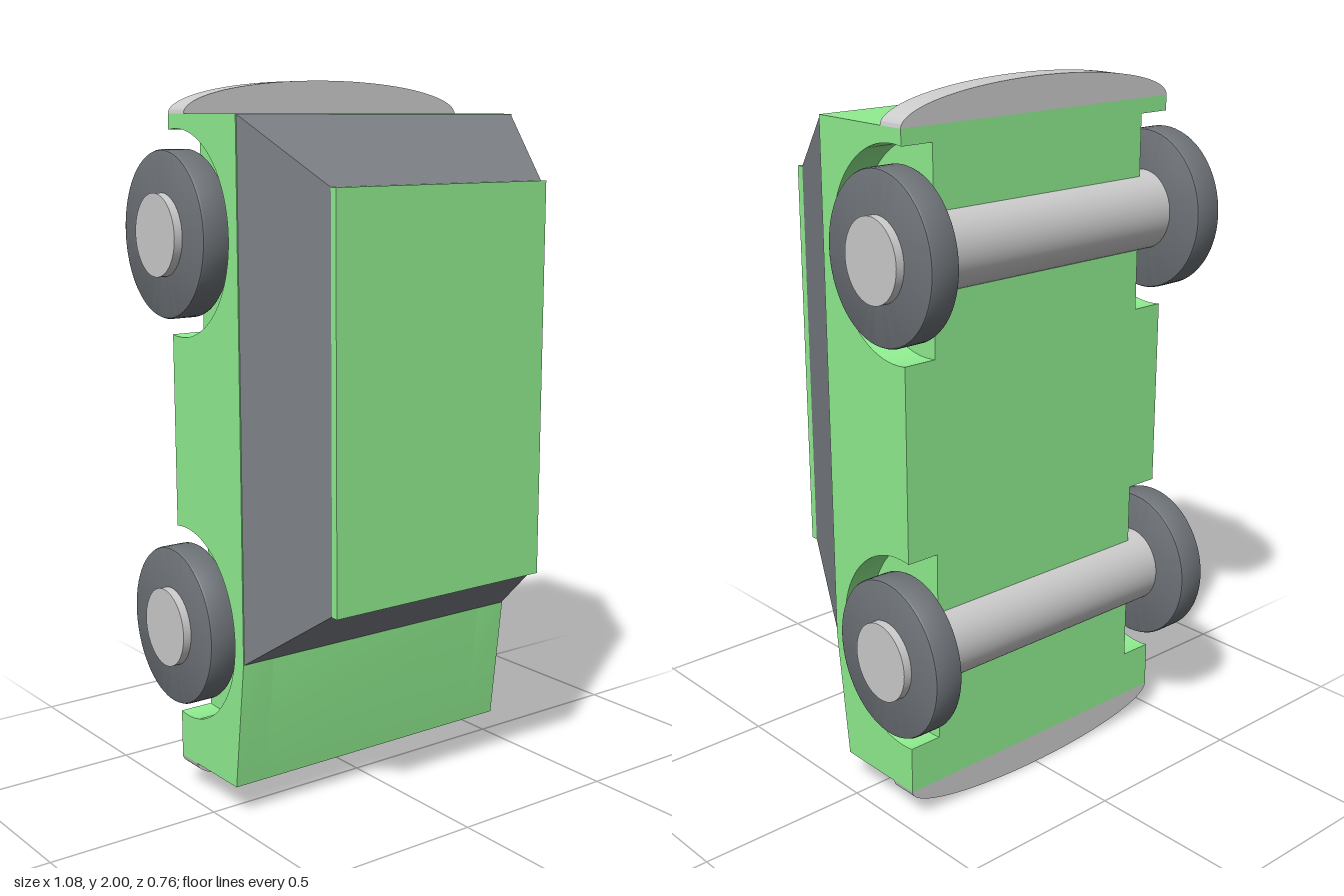
import * as THREE from 'three';
import { toCreasedNormals } from 'three/addons/utils/BufferGeometryUtils.js';

const paint = new THREE.MeshStandardMaterial({ color: 0x90ee90 });
const glass = new THREE.MeshStandardMaterial({ color: 0x7c8085 });
const rubber = new THREE.MeshStandardMaterial({ color: 0x6e7378 });
const grey = new THREE.MeshStandardMaterial({ color: 0xcccccc });

const HALF_WIDTH = 0.468, ARCH_INNER = 0.37, UNDERSIDE = -0.215;
const AXLE_Z = -0.177, AXLE_HEIGHTS = [0.505, 1.595];

function add(parent, name, geometry, material) {
  const mesh = new THREE.Mesh(geometry, material);
  mesh.name = name;
  parent.add(mesh);
  return mesh;
}

// Side outline of the body (shape x is -z), with or without wheel arches
function bodyOutline(withArches) {
  const s = new THREE.Shape();
  s.moveTo(-0.07, 0.095);
  s.lineTo(-UNDERSIDE, 0.095);
  if (withArches) {
    const rz = 0.25, ry = 0.278;
    const a = Math.acos((-UNDERSIDE + AXLE_Z) / rz);
    for (const y of AXLE_HEIGHTS) {
      s.lineTo(-UNDERSIDE, y - ry * Math.sin(a));
      s.absellipse(-AXLE_Z, y, rz, ry, -a, a, true);
    }
  }
  s.lineTo(-UNDERSIDE, 1.912);
  s.lineTo(-0.114, 1.912);
  s.lineTo(-0.114, 0.46);
  s.closePath();
  return s;
}

// Extrudes a side outline across x from x0 to x1
function slab(shape, x0, x1) {
  const g = new THREE.ExtrudeGeometry(shape, { depth: x1 - x0, bevelEnabled: false, curveSegments: 48 });
  g.rotateY(Math.PI / 2).translate(x0, 0, 0);
  return toCreasedNormals(g, 0.4);
}

// Box whose front face (+z) is smaller than its back face
function cabinGeometry() {
  const g = new THREE.BoxGeometry(2, 2, 2);
  const p = g.attributes.position;
  for (let i = 0; i < p.count; i++) {
    const front = p.getZ(i) > 0;
    const [halfW, low, high, z] = front ? [0.353, 0.638, 1.735, 0.36] : [0.465, 0.46, 1.91, 0.114];
    p.setXYZ(i, p.getX(i) * halfW, p.getY(i) > 0 ? high : low, z);
  }
  g.computeVertexNormals();
  return g;
}

// Disc along x with slightly rounded rims
function wheelGeometry(halfWidth, r) {
  const b = 0.008;
  const profile = [[0, -halfWidth], [r - b, -halfWidth], [r - 0.3 * b, -halfWidth + 0.3 * b], [r, -halfWidth + b],
    [r, halfWidth - b], [r - 0.3 * b, halfWidth - 0.3 * b], [r - b, halfWidth], [0, halfWidth]];
  const g = new THREE.LatheGeometry(profile.map(([x, y]) => new THREE.Vector2(x, y)), 64);
  return toCreasedNormals(g.rotateZ(Math.PI / 2), 0.6);
}

export function createModel() {
  const car = new THREE.Group();
  car.name = 'car';

  // Body: solid middle plus side slabs cut by the wheel arches
  const body = new THREE.Group();
  body.name = 'body';
  car.add(body);
  add(body, 'bodyCentre', slab(bodyOutline(false), -ARCH_INNER, ARCH_INNER), paint);
  add(body, 'leftBodySide', slab(bodyOutline(true), ARCH_INNER, HALF_WIDTH), paint);
  add(body, 'rightBodySide', slab(bodyOutline(true), -HALF_WIDTH, -ARCH_INNER), paint);

  // Window block and roof panel
  add(car, 'windows', cabinGeometry(), glass);
  add(car, 'roof', new THREE.BoxGeometry(0.706, 1.1, 0.022), paint).position.set(0, 1.185, 0.37);

  // Half-elliptical bumpers at both ends
  for (const [name, y, dir] of [['frontBumper', 0.095, -1], ['rearBumper', 1.912, 1]]) {
    const s = new THREE.Shape();
    s.absellipse(0, 0, HALF_WIDTH, 0.09, 0, Math.PI, false);
    s.closePath();
    const g = new THREE.ExtrudeGeometry(s, { depth: 0.08, bevelEnabled: false, curveSegments: 64 });
    if (dir < 0) g.rotateZ(Math.PI);
    add(car, name, toCreasedNormals(g, 0.5), grey).position.set(0, y, UNDERSIDE);
  }

  // Axles running through both wheels, slightly stretched along y
  AXLE_HEIGHTS.forEach((y, i) => {
    const set = new THREE.Group();
    set.name = i ? 'rearWheelSet' : 'frontWheelSet';
    set.position.set(0, y, AXLE_Z);
    set.scale.set(1, 1.092, 1);
    car.add(set);
    add(set, 'axle', new THREE.CylinderGeometry(0.102, 0.102, 1.08, 48).rotateZ(Math.PI / 2), grey);
    for (const side of [-1, 1]) {
      const wheel = add(set, side > 0 ? 'leftWheel' : 'rightWheel', wheelGeometry(0.044, 0.206), rubber);
      wheel.position.x = side * 0.472;
    }
  });

  return car;
}
